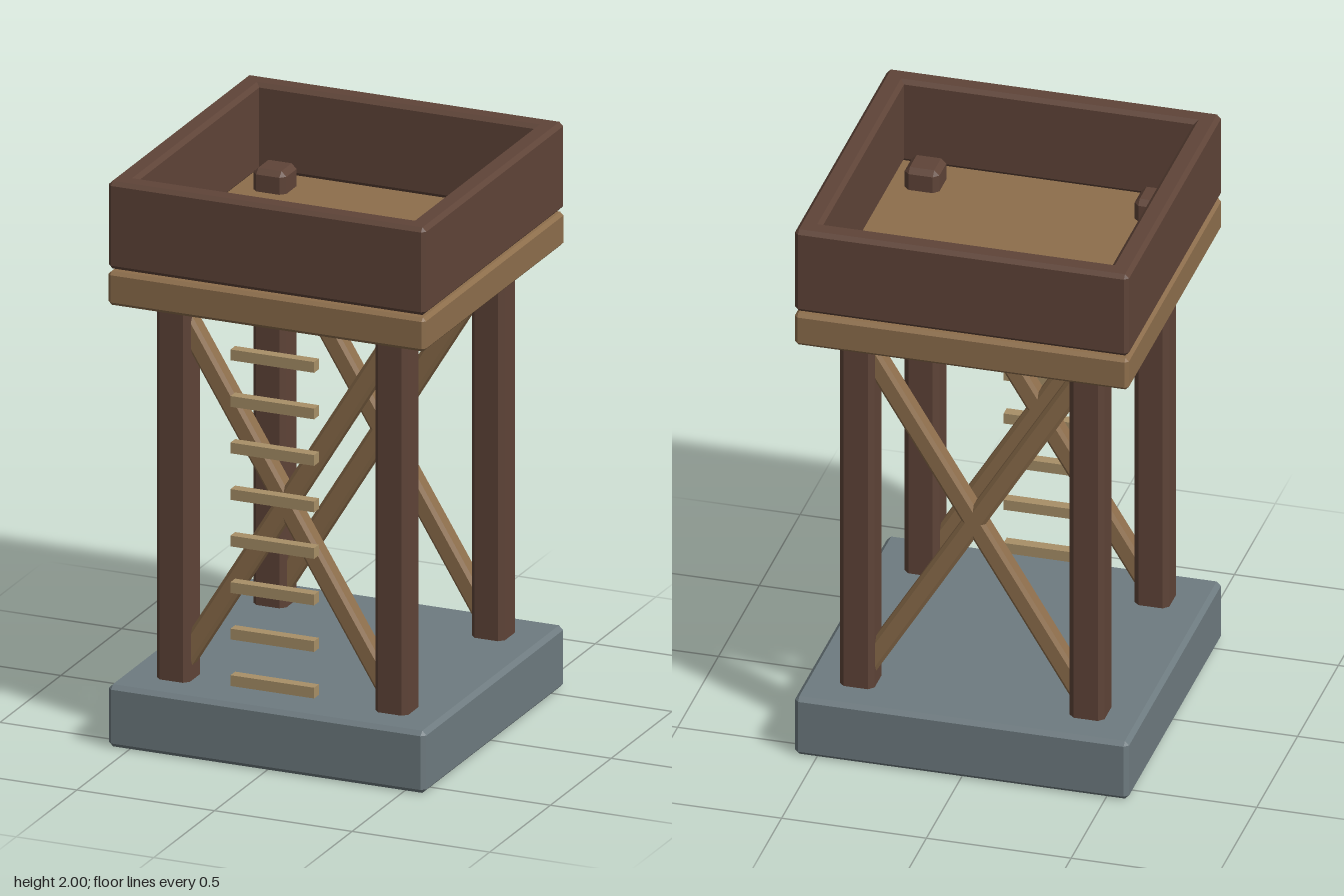
import * as THREE from 'three';
import { ConvexGeometry } from 'three/addons/geometries/ConvexGeometry.js';

const paint = (color) => new THREE.MeshStandardMaterial({ color, flatShading: true });

// Box with every edge cut by a single flat chamfer
function chamferBox(w, h, d, c) {
  const points = [];
  for (const x of [-1, 1]) for (const y of [-1, 1]) for (const z of [-1, 1]) {
    for (let axis = 0; axis < 3; axis++) {
      const inset = [c, c, c];
      inset[axis] = 0;
      points.push(new THREE.Vector3(
        x * (w / 2 - inset[0]), y * (h / 2 - inset[1]), z * (d / 2 - inset[2])));
    }
  }
  return new ConvexGeometry(points);
}

export function createModel() {
  const group = new THREE.Group();
  const stone = paint(0x6e7b80);
  const darkWood = paint(0x5f4438);
  const plankWood = paint(0x8d6e4c);
  const rungWood = paint(0xa89068);

  function add(name, geometry, material, x, y, z) {
    const mesh = new THREE.Mesh(geometry, material);
    mesh.name = name;
    mesh.position.set(x, y, z);
    group.add(mesh);
    return mesh;
  }

  // Stone foundation and lookout floor
  const width = 1.154;
  add('base', chamferBox(width, 0.22, width, 0.015), stone, 0, 0.11, 0);
  add('platform', chamferBox(width, 0.12, width, 0.012), plankWood, 0, 1.622, 0);

  // Four legs, poking up through the floor
  const legGeometry = chamferBox(0.12, 1.56, 0.12, 0.018);
  for (const x of [-0.397, 0.397]) for (const z of [-0.397, 0.397]) {
    add('leg', legGeometry, darkWood, x, 0.98, z);
  }

  // Crossed braces on the front and back
  const braceGeometry = chamferBox(0.07, 1.5, 0.07, 0.012);
  const lean = Math.atan2(0.68, 1.11);
  for (const z of [-0.397, 0.397]) for (const side of [-1, 1]) {
    add('brace', braceGeometry, plankWood, 0, 0.89, z).rotation.z = side * lean;
  }

  // Parapet walls, overlapping at the corners
  const wallHeight = 0.31, thickness = 0.077;
  const wallOffset = (width - thickness) / 2;
  const longWall = chamferBox(width, wallHeight, thickness, 0.014);
  const sideWall = chamferBox(thickness, wallHeight, width, 0.014);
  for (const s of [-1, 1]) {
    add(s > 0 ? 'frontWall' : 'backWall', longWall, darkWood, 0, 1.845, s * wallOffset);
    add(s > 0 ? 'leftWall' : 'rightWall', sideWall, darkWood, s * wallOffset, 1.845, 0);
  }

  // Ladder rungs in front
  const rungGeometry = new THREE.BoxGeometry(0.304, 0.038, 0.038);
  for (let i = 0; i < 8; i++) {
    add('rung', rungGeometry, rungWood, 0, 0.28 + i * 0.1645, 0.505);
  }

  return group;
}
